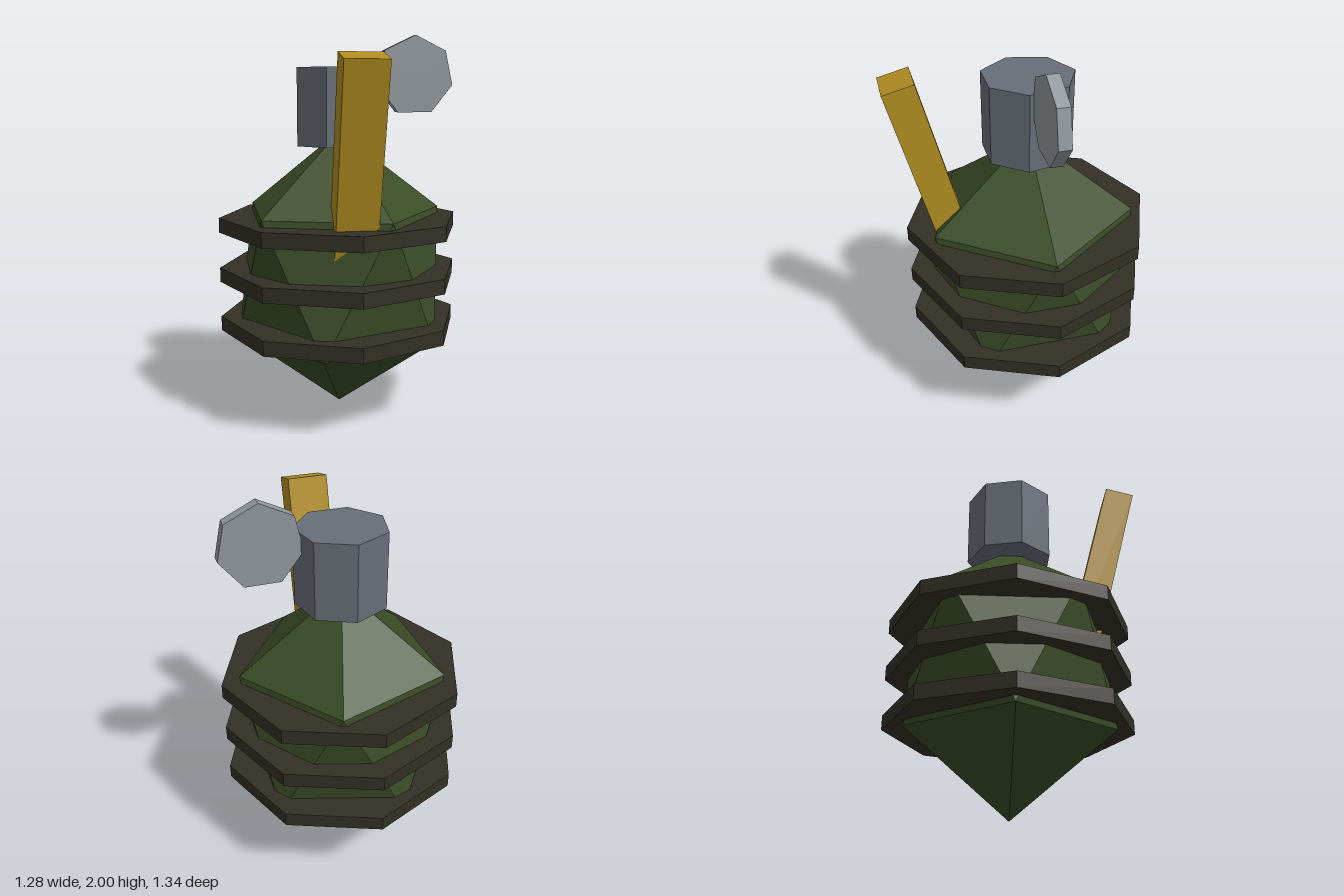
import * as THREE from 'three';

function material(name, color) {
  const m = new THREE.MeshStandardMaterial({ color, flatShading: true });
  m.name = name;
  return m;
}

export function createModel() {
  const group = new THREE.Group();
  const green = material('olive green', 0x3b4c26);
  const dark = material('dark band', 0x323026);
  const steel = material('steel grey', 0x686e78);
  const pale = material('pale steel', 0x8f969b);
  const brass = material('brass', 0xb08d20);
  const Z = -0.03; // axis of the body

  function add(name, geometry, mat, x, y, z) {
    const mesh = new THREE.Mesh(geometry, mat);
    mesh.name = name;
    mesh.position.set(x, y, z);
    group.add(mesh);
    return mesh;
  }

  // Faceted body: icosahedron stood on one vertex and narrowed
  const body = new THREE.IcosahedronGeometry(0.75, 0);
  body.rotateZ(-Math.atan(2 / (1 + Math.sqrt(5))));
  body.scale(0.815, 1, 0.815);
  add('body', body, green, 0, 0.755, Z);

  // Three octagonal bands
  for (let i = 0; i < 3; i++) {
    add('band' + (i + 1), new THREE.CylinderGeometry(0.64, 0.64, 0.077, 8), dark, 0, 0.487 + i * 0.266, Z);
  }

  // Seven-sided cap on top
  add('cap', new THREE.CylinderGeometry(0.235, 0.235, 0.4, 7, 1, false, Math.PI), steel, 0, 1.63, Z);

  // Upright pull disc at the side of the cap, one corner up
  const disc = new THREE.CylinderGeometry(0.21, 0.21, 0.063, 7, 1, false, Math.PI);
  disc.rotateX(Math.PI / 2);
  add('pullDisc', disc, pale, 0.4, 1.79, Z);

  // Leaning lever, its foot buried in the body
  const lever = new THREE.BoxGeometry(0.21, 1.15, 0.157);
  lever.translate(0, -0.575, 0);
  add('lever', lever, brass, 0, 1.865, 0.595).rotation.x = 0.25;

  return group;
}
